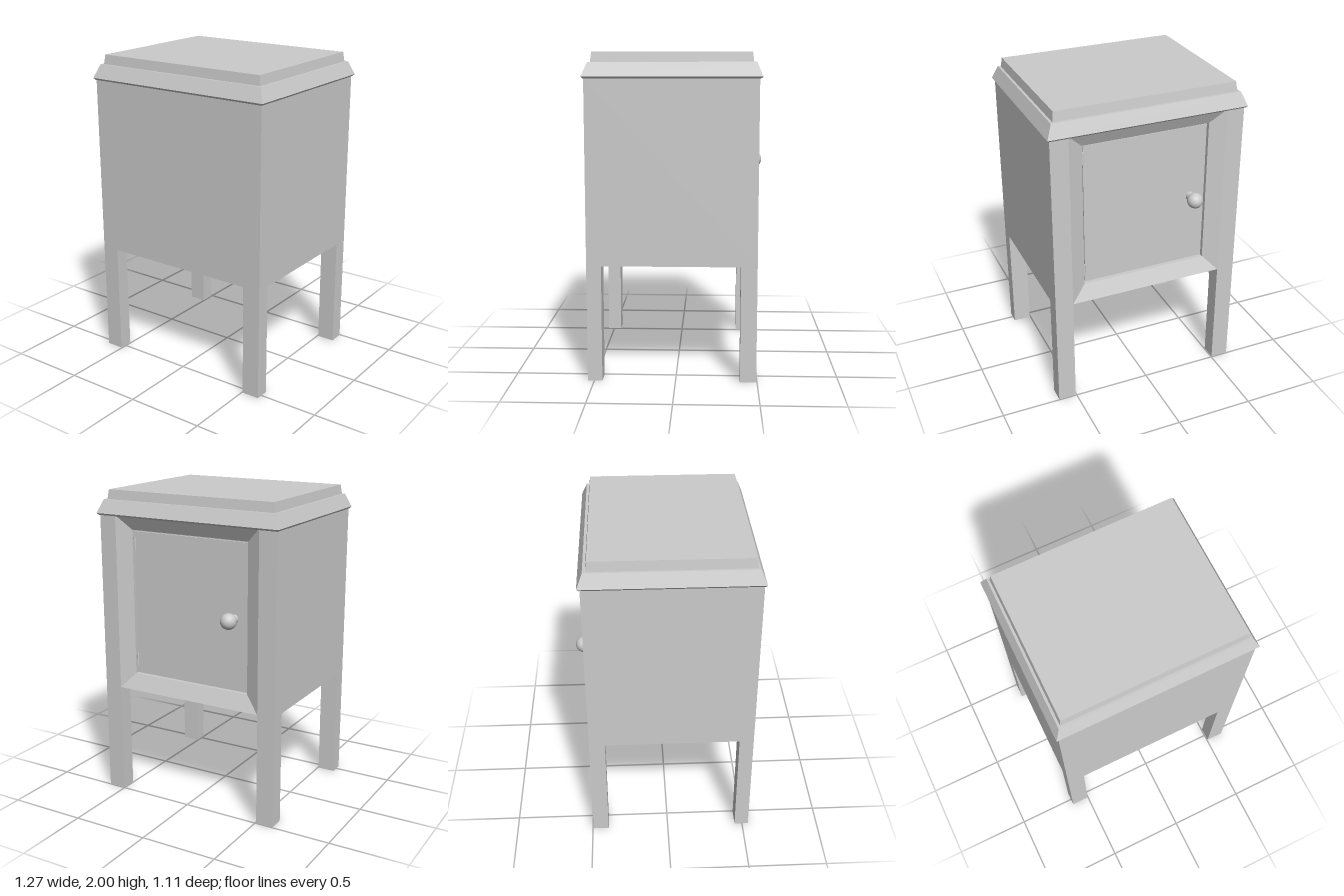
import * as THREE from 'three';

const material = new THREE.MeshStandardMaterial({ color: 0xcccccc });

function add(group, name, geometry, x = 0, y = 0, z = 0) {
  const mesh = new THREE.Mesh(geometry, material);
  mesh.name = name;
  mesh.position.set(x, y, z);
  group.add(mesh);
  return mesh;
}

// Closed solid through rectangular rings [halfWidth, bottom, top, z]
function rectLoft(rings) {
  const corners = rings.map(([w, a, b, z]) => [[-w, a, z], [w, a, z], [w, b, z], [-w, b, z]]);
  const pos = [];
  const quad = (a, b, c, d) => pos.push(...a, ...b, ...c, ...a, ...c, ...d);
  const first = corners[0], last = corners[corners.length - 1];
  quad(first[0], first[3], first[2], first[1]);
  for (let i = 0; i < corners.length - 1; i++) {
    for (let j = 0; j < 4; j++) {
      const k = (j + 1) % 4;
      quad(corners[i][j], corners[i][k], corners[i + 1][k], corners[i + 1][j]);
    }
  }
  quad(...last);
  const geometry = new THREE.BufferGeometry();
  geometry.setAttribute('position', new THREE.Float32BufferAttribute(pos, 3));
  geometry.computeVertexNormals();
  return geometry;
}

export function createModel() {
  const cabinet = new THREE.Group();
  cabinet.name = 'cabinet';

  // Body with a bevelled, recessed door opening in the back
  add(cabinet, 'body', rectLoft([
    [0.41, 0.82, 1.76, -0.425],
    [0.41, 0.82, 1.76, -0.45],
    [0.505, 0.72, 1.85, -0.495],
    [0.62, 0.72, 1.85, -0.495],
    [0.62, 0.72, 1.85, 0.54],
  ]));

  // Lid: bevelled rim and a slightly tapered raised slab
  const lid = add(cabinet, 'lid', rectLoft([
    [0.625, -0.545, 0.50, 1.843],
    [0.635, -0.553, 0.513, 1.855],
    [0.60, -0.518, 0.478, 1.94],
    [0.585, -0.503, 0.461, 1.94],
    [0.577, -0.496, 0.453, 2.0],
  ]));
  lid.rotation.x = -Math.PI / 2;

  // Four square legs, flush with the body corners
  for (const side of [-1, 1]) {
    add(cabinet, 'frontLeg', new THREE.BoxGeometry(0.115, 0.72, 0.09), side * 0.5625, 0.36, 0.495);
    add(cabinet, 'backLeg', new THREE.BoxGeometry(0.115, 0.72, 0.1), side * 0.5625, 0.36, -0.445);
  }

  // Door panel with a narrow gap around it
  add(cabinet, 'door', new THREE.BoxGeometry(0.80, 0.92, 0.03), 0, 1.29, -0.42);

  // Hinges on the side opposite the knob
  for (const y of [0.91, 1.67]) {
    add(cabinet, 'hinge', new THREE.CylinderGeometry(0.007, 0.007, 0.08, 12), 0.402, y, -0.436);
  }

  // Round knob on a short neck
  add(cabinet, 'knob', new THREE.SphereGeometry(0.05, 32, 20), -0.31, 1.28, -0.505);
  const neck = add(cabinet, 'knobNeck', new THREE.CylinderGeometry(0.024, 0.03, 0.07, 24), -0.31, 1.28, -0.455);
  neck.rotation.x = -Math.PI / 2;

  return cabinet;
}
